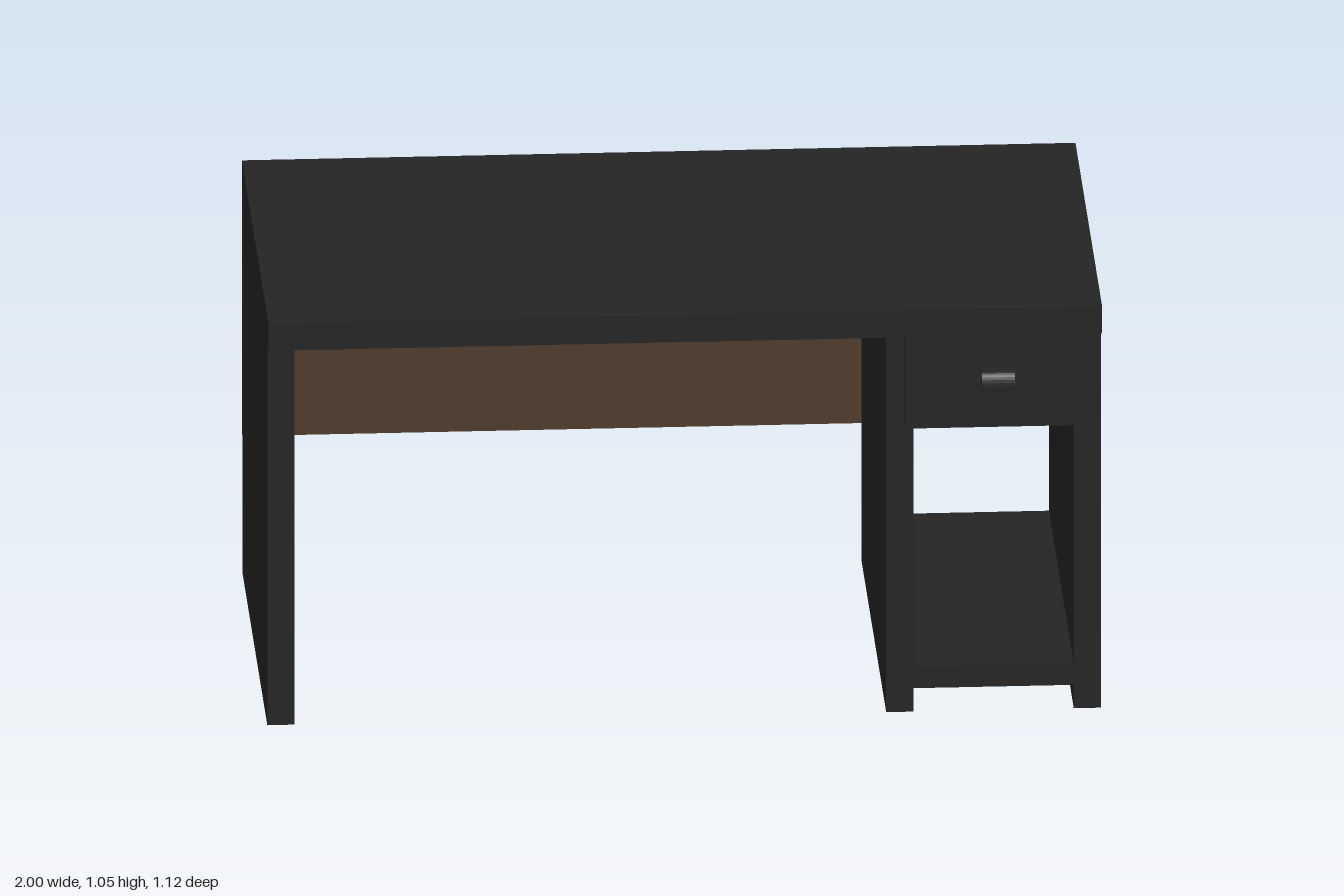
import * as THREE from 'three';

export function createModel() {
  const desk = new THREE.Group();
  desk.name = 'desk';
  const black = new THREE.MeshStandardMaterial({ color: 0x242424 });
  black.name = 'black laminate';
  const brown = new THREE.MeshStandardMaterial({ color: 0x4f3c2d });
  brown.name = 'brown board';

  const add = (name, geometry, material, parent = desk) => {
    const mesh = new THREE.Mesh(geometry, material);
    mesh.name = name;
    parent.add(mesh);
    return mesh;
  };
  // Box given by its lower and upper limits on each axis
  const box = (name, [x0, x1], [y0, y1], [z0, z1], material = black, parent = desk) =>
    add(name, new THREE.BoxGeometry(x1 - x0, y1 - y0, z1 - z0)
      .translate((x0 + x1) / 2, (y0 + y1) / 2, (z0 + z1) / 2), material, parent);

  // Top, upright panels and low shelf
  const depth = [-0.54, 0.48];
  box('tabletop', [-1, 1], [0.98, 1.05], [-0.56, 0.53]);
  box('rightPanel', [-1, -0.935], [0, 0.98], depth);
  box('innerPanel', [0.485, 0.55], [0, 0.98], depth);
  box('leftPanel', [0.935, 1], [0, 0.98], depth);
  box('shelf', [0.55, 0.935], [0.06, 0.115], depth);

  // Thin back board with a round cable hole
  const board = new THREE.Shape([
    new THREE.Vector2(-1, 0.35), new THREE.Vector2(1, 0.35),
    new THREE.Vector2(1, 0.98), new THREE.Vector2(-1, 0.98),
  ]);
  board.holes.push(new THREE.Path().absarc(0.75, 0.75, 0.075, 0, Math.PI * 2, true));
  add('backBoard', new THREE.ExtrudeGeometry(board, {
    depth: 0.012, bevelEnabled: false, curveSegments: 24,
  }).translate(0, 0, -0.552), brown);

  // Drawer: overlaid front and an open tray behind it
  const drawer = new THREE.Group();
  drawer.name = 'drawer';
  desk.add(drawer);
  box('drawerFront', [0.53, 0.955], [0.74, 0.98], [0.48, 0.515], black, drawer);
  box('drawerBottom', [0.56, 0.925], [0.76, 0.775], [0, 0.48], black, drawer);
  box('drawerBack', [0.56, 0.925], [0.775, 0.93], [0, 0.015], black, drawer);
  for (const x of [0.56, 0.91]) {
    box('drawerSide', [x, x + 0.015], [0.775, 0.93], [0.015, 0.48], black, drawer);
  }

  // Hooked pull: side profile (z, y) swept across x
  const pull = new THREE.Shape();
  pull.moveTo(0.515, 0.878);
  pull.lineTo(0.54, 0.878);
  pull.quadraticCurveTo(0.549, 0.876, 0.549, 0.845);
  pull.lineTo(0.56, 0.85);
  pull.quadraticCurveTo(0.562, 0.893, 0.538, 0.893);
  pull.lineTo(0.515, 0.893);
  pull.closePath();
  add('drawerPull', new THREE.ExtrudeGeometry(pull, {
    depth: 0.08, bevelEnabled: false, curveSegments: 8,
  }).rotateY(-Math.PI / 2).translate(0.79, 0, 0), black, drawer);

  return desk;
}
